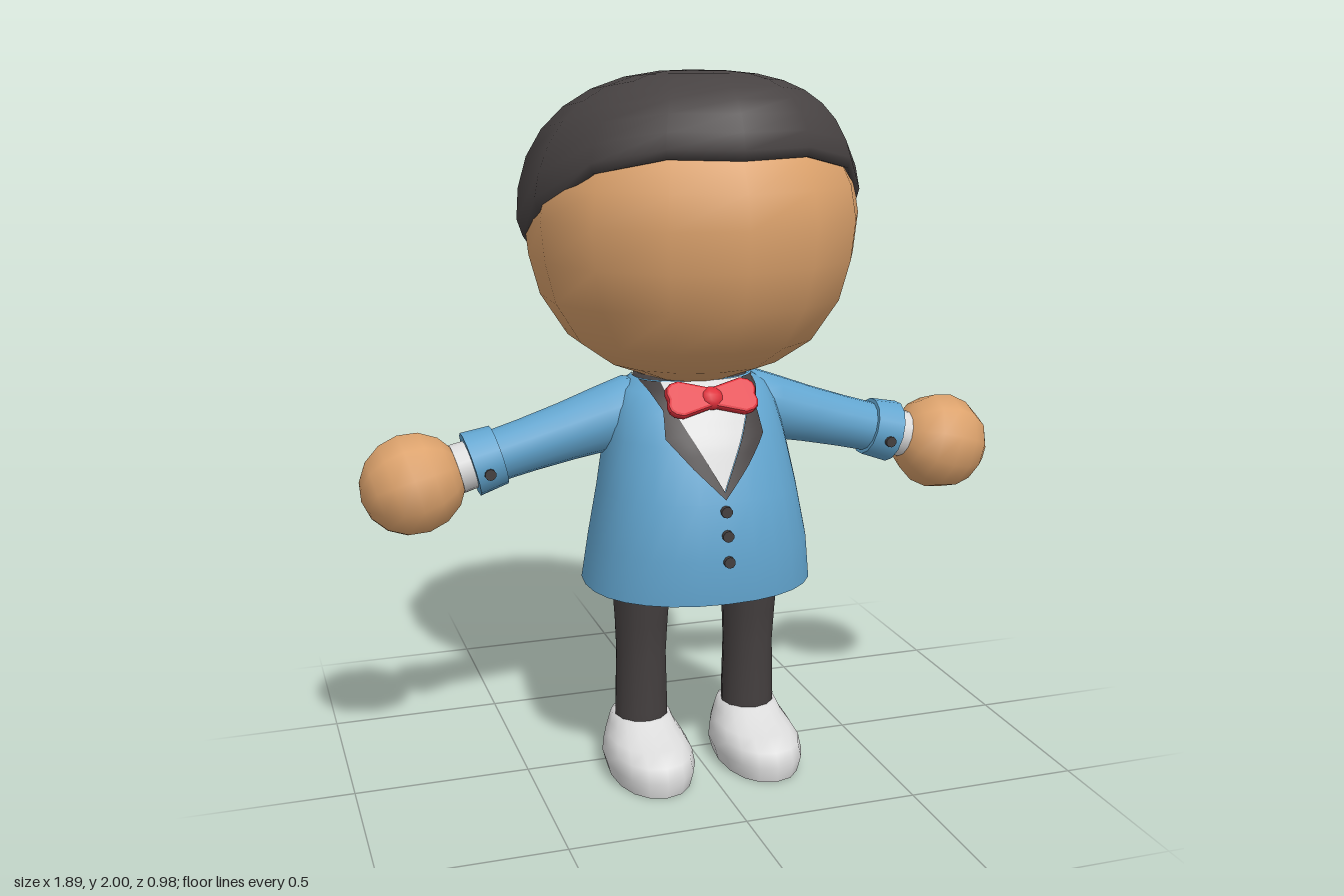
import * as THREE from 'three';

const mat = (name, color, side = THREE.FrontSide) => {
  const m = new THREE.MeshStandardMaterial({ color, side });
  m.name = name;
  return m;
};

export function createModel() {
  const model = new THREE.Group();
  model.name = 'figure';
  const skin = mat('skin', 0xdca26c);
  const hairDark = mat('hair', 0x484343);
  const cloth = mat('jacket blue', 0x62a5cf);
  const black = mat('black cloth', 0x443f3f, THREE.DoubleSide);
  const white = mat('white', 0xdadada, THREE.DoubleSide);
  const red = mat('red', 0xe02f3a);

  const add = (name, geometry, material, parent = model) => {
    const mesh = new THREE.Mesh(geometry, material);
    mesh.name = name;
    parent.add(mesh);
    return mesh;
  };

  // Smooth skin over closed rings of points, ordered bottom to top
  const skinRings = (rings) => {
    const n = rings[0].length, pos = [], idx = [];
    rings.forEach((r) => r.forEach((p) => pos.push(...p)));
    for (let j = 0; j < rings.length - 1; j++) {
      for (let i = 0; i < n; i++) {
        const a = j * n + i, b = j * n + (i + 1) % n;
        idx.push(a, b, b + n, a, b + n, a + n);
      }
    }
    const g = new THREE.BufferGeometry();
    g.setAttribute('position', new THREE.Float32BufferAttribute(pos, 3));
    g.setIndex(idx);
    g.computeVertexNormals();
    return g;
  };

  // Rounded cross-sections [y, half width, front z, back z]; a repeated row makes a crease
  const pw = (v, e) => Math.sign(v) * Math.abs(v) ** e;
  const loft = (rows, sides, n = 2, cx = 0) => skinRings(rows.map(([y, rx, zf, zb]) =>
    Array.from({ length: sides }, (_, i) => {
      const a = (i / sides) * Math.PI * 2;
      return [cx + rx * pw(Math.sin(a), 2 / n), y,
        (zf + zb) / 2 + (zf - zb) / 2 * pw(Math.cos(a), 2 / n)];
    })));

  // Head and neck
  const headProfile = [[1.14, 0], [1.155, 0.12], [1.205, 0.25], [1.275, 0.35], [1.39, 0.425],
    [1.5, 0.455], [1.61, 0.467], [1.7, 0.452], [1.78, 0.415], [1.86, 0.35], [1.93, 0.2], [1.95, 0]];
  add('head', loft(headProfile.map(([y, r]) => [y, r, r * 1.055, -r * 0.98]), 14), skin);
  add('neck', new THREE.CylinderGeometry(0.1, 0.1, 0.12, 14), skin).position.y = 1.13;

  // Hair cap: swept-down edge, fuller at the front, with a tucked-in lip
  const edge = [1.78, 1.785, 1.745, 1.635, 1.55, 1.42, 1.365, 1.35];
  const hairPoint = (i, t, shrink = 1) => {
    const a = (i / 14) * Math.PI * 2, c = Math.cos(a);
    const n = 2.3 + 1.7 * Math.max(0, c) ** 2;
    const R = 0.482 + (c > 0 ? -0.025 : 0.008) * c * c;
    const h = edge[Math.min(i, 14 - i)] - 1.6;
    const end = Math.acos(pw(h / (h > 0 ? 0.4 : 0.42), n / 2));
    const phi = end * t, cy = Math.cos(phi);
    const r = t === 0 ? 0 : R * Math.sin(phi) ** (2 / n) * shrink;
    return [r * Math.sin(a), 1.6 + (cy > 0 ? 0.4 : 0.42) * pw(cy, 2 / n), r * c];
  };
  const hairRows = [[1, 0.84], [1, 0.97], [0.95, 1], [0.85, 1], [0.72, 1], [0.59, 1],
    [0.46, 1], [0.33, 1], [0.2, 1], [0.08, 1], [0, 1]];
  add('hair', skinRings(hairRows.map(([t, s]) =>
    Array.from({ length: 14 }, (_, i) => hairPoint(i, t, s)))), hairDark);

  // Jacket body
  const torso = [[0.57, 0.33, 0.335, -0.24], [0.7, 0.313, 0.343, -0.222], [0.85, 0.285, 0.312, -0.2],
    [1.0, 0.258, 0.25, -0.18], [1.08, 0.24, 0.2, -0.165], [1.13, 0.215, 0.155, -0.145],
    [1.158, 0.17, 0.12, -0.12]];
  const lining = [[0.62, 0.3, 0.305, -0.21], [0.57, 0.318, 0.322, -0.228], [0.57, 0.318, 0.322, -0.228]];
  add('jacket', loft([...lining, torso[0], ...torso], 28, 2.2), cloth);
  add('shirtHem', loft([[0.585, 0, 0.02, 0.02], [0.585, 0.318, 0.322, -0.225]], 28, 2.2), white);
  add('collar', loft([[1.14, 0.17, 0.115, -0.125], [1.166, 0.16, 0.1, -0.125],
    [1.15, 0.1, 0.08, -0.09], [1.13, 0, 0, 0]], 28, 2.2), black);

  // Depth of the jacket front at a point
  const frontZ = (x, y) => {
    let k = 0;
    while (k < torso.length - 2 && y > torso[k + 1][0]) k++;
    const [p, q] = [torso[k], torso[k + 1]];
    const f = Math.min(1, Math.max(0, (y - p[0]) / (q[0] - p[0])));
    const [, rx, zf, zb] = p.map((v, m) => v + (q[m] - v) * f);
    const w = Math.min(1, Math.abs(x) / rx);
    return (zf + zb) / 2 + (zf - zb) / 2 * (1 - w ** 2.2) ** (1 / 2.2);
  };

  // Thin panel on the jacket front between two edges, listed from top to bottom
  const panel = (left, right, lift) => {
    const rows = (left.length - 1) * 3, cols = 6;
    const at = (pts, t) => {
      const k = Math.min(Math.floor(t), pts.length - 2), f = t - k;
      return pts[k].map((v, m) => v + (pts[k + 1][m] - v) * f);
    };
    const g = new THREE.PlaneGeometry(1, 1, cols, rows), p = g.attributes.position;
    for (let j = 0; j <= rows; j++) {
      const a = at(left, j / 3), b = at(right, j / 3);
      for (let i = 0; i <= cols; i++) {
        const x = a[0] + (b[0] - a[0]) * i / cols, y = a[1] + (b[1] - a[1]) * i / cols;
        p.setXYZ(j * (cols + 1) + i, x, y, frontZ(x, y) + lift);
      }
    }
    g.computeVertexNormals();
    return g;
  };
  const flip = (pts) => pts.map(([x, y]) => [-x, y]);
  const inner = [[0.12, 1.157], [0.112, 1.1], [0.078, 1.03], [0.038, 0.955], [0, 0.882]];
  const outer = [[0.168, 1.157], [0.135, 1.09], [0.142, 1.02], [0.08, 0.945], [0, 0.862]];
  add('shirtFront', panel(flip(inner), inner, 0.006), white);
  add('lapelLeft', panel(inner, outer, 0.01), black);
  add('lapelRight', panel(flip(outer), flip(inner), 0.01), black);

  // Jacket buttons
  for (const y of [0.83, 0.765, 0.695]) {
    const b = add('jacketButton', new THREE.CylinderGeometry(0.016, 0.016, 0.016, 10), black);
    b.rotation.x = Math.PI / 2;
    b.position.set(0, y, frontZ(0, y) + 0.003);
  }

  // Bow tie
  const bow = new THREE.Group();
  bow.name = 'bowTie';
  bow.position.set(0, 1.12, 0.19);
  bow.rotation.x = -0.65;
  model.add(bow);
  const wing = new THREE.Shape();
  wing.moveTo(0, -0.02);
  wing.lineTo(0.09, -0.046);
  wing.quadraticCurveTo(0.135, -0.04, 0.118, 0);
  wing.quadraticCurveTo(0.135, 0.04, 0.09, 0.046);
  wing.lineTo(0, 0.02);
  for (const s of [1, -1]) {
    const g = new THREE.ExtrudeGeometry(wing, { depth: 0.012, bevelSize: 0.008,
      bevelThickness: 0.008, bevelSegments: 2, curveSegments: 4 });
    g.translate(0, 0, -0.006);
    add('bowWing', g, red, bow).rotation.y = s > 0 ? 0 : Math.PI;
  }
  add('bowKnot', new THREE.SphereGeometry(0.034, 10, 8), red, bow).scale.set(1, 1, 0.75);

  // Arms: sleeve, cuff, shirt cuff and round hand along one axis
  const lathe = (pts) => new THREE.LatheGeometry(pts.map(([r, s]) => new THREE.Vector2(r, s)), 14);
  for (const s of [1, -1]) {
    const arm = new THREE.Group();
    arm.name = s > 0 ? 'armLeft' : 'armRight';
    arm.position.set(s * 0.17, 1.06, -0.01);
    arm.rotation.z = -s * THREE.MathUtils.degToRad(105.1);
    model.add(arm);
    add('sleeve', lathe([[0, -0.06], [0.08, -0.04], [0.1, 0], [0.094, 0.08], [0.083, 0.2],
      [0.076, 0.32], [0.073, 0.42]]), cloth, arm);
    add('cuff', lathe([[0.07, 0.402], [0.085, 0.402], [0.085, 0.402], [0.092, 0.485],
      [0.092, 0.485], [0.068, 0.485]]), cloth, arm);
    add('shirtCuff', lathe([[0.068, 0.47], [0.07, 0.525], [0.07, 0.525], [0.04, 0.525]]), white, arm);
    add('hand', new THREE.SphereGeometry(0.146, 10, 8), skin, arm).position.y = 0.652;
    const b = add('cuffButton', new THREE.CylinderGeometry(0.016, 0.016, 0.016, 10), black, arm);
    b.rotation.x = Math.PI / 2;
    b.position.set(s * 0.02, 0.45, 0.087);
  }

  // Trousers
  add('trouserSeat', loft([[0.505, 0, 0.04, 0.04], [0.508, 0.1, 0.12, -0.05], [0.53, 0.2, 0.215, -0.14],
    [0.565, 0.265, 0.285, -0.195], [0.6, 0.285, 0.3, -0.205]], 20), black);
  for (const s of [1, -1]) {
    const side = s > 0 ? 'Left' : 'Right', cx = s * 0.165;
    add('leg' + side, loft([[0.14, 0.078, 0.12, -0.04], [0.18, 0.078, 0.122, -0.04],
      [0.35, 0.074, 0.118, -0.035], [0.45, 0.078, 0.13, -0.04], [0.57, 0.087, 0.14, -0.045]], 12, 2, cx), black);
    // Shoe with a flat sole and a low rounded toe
    const sole = [0, 0.112, 0.303, -0.083];
    add('shoe' + side, loft([[0, 0, 0.1, 0.1], sole, sole, [0.045, 0.125, 0.312, -0.09],
      [0.085, 0.119, 0.295, -0.088], [0.108, 0.108, 0.235, -0.082], [0.13, 0.095, 0.165, -0.074],
      [0.155, 0.086, 0.13, -0.06], [0.158, 0.07, 0.11, -0.04], [0.15, 0, 0.04, 0.04]], 16, 2.2, cx), white);
  }
  return model;
}
